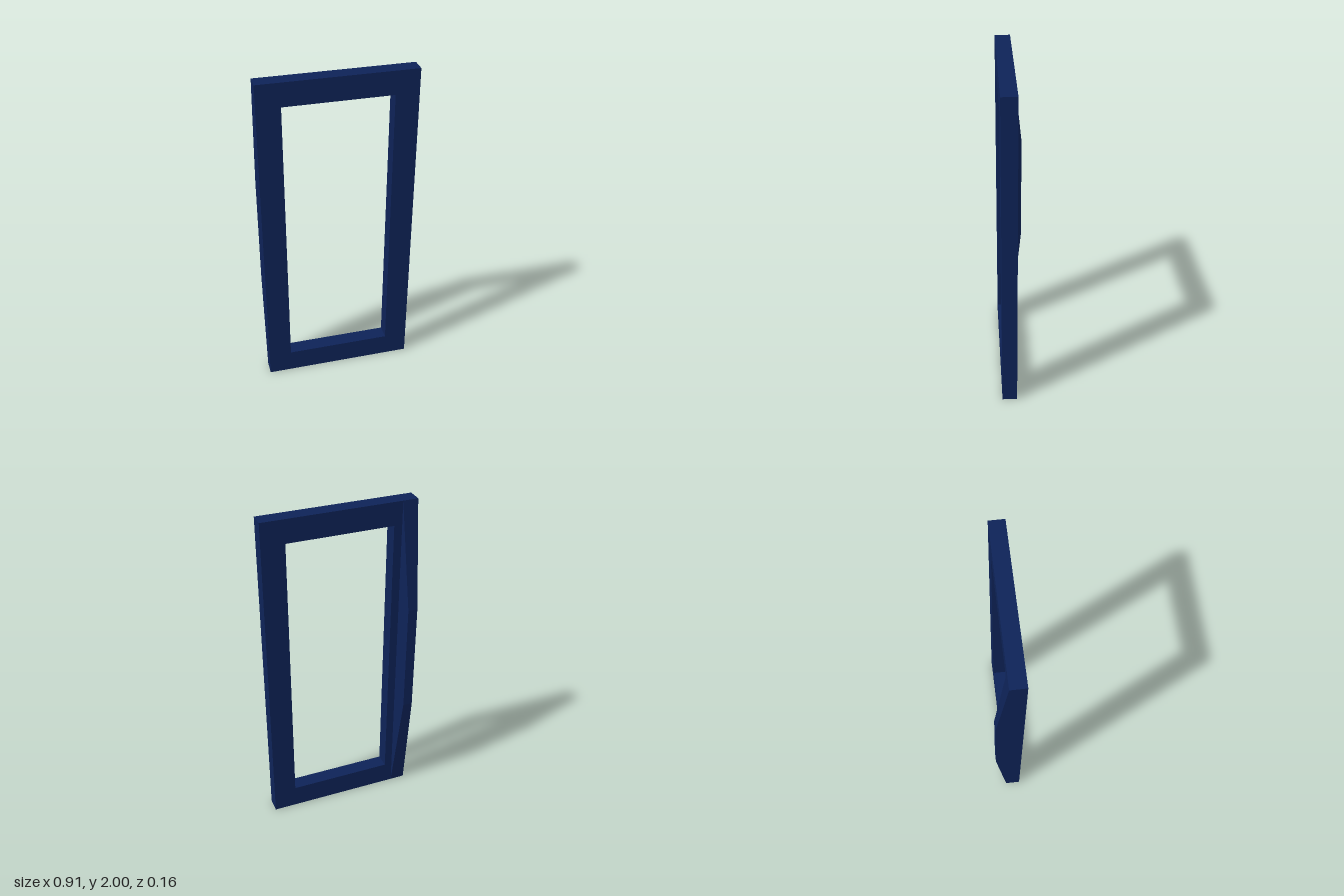
import * as THREE from 'three';

const rect = (path, w, y0, y1) => {
  path.moveTo(-w, y0);
  path.lineTo(w, y0);
  path.lineTo(w, y1);
  path.lineTo(-w, y1);
  path.closePath();
  return path;
};

// Loft of four-cornered sections along y; it tapers to flat at both ends
function raisedStileGeometry() {
  const outer = -0.453, inner = -0.363, base = -0.012;
  const sections = [
    [0, inner, base],
    [0.66, -0.395, -0.08],
    [1.34, -0.395, -0.08],
    [2, inner, base],
  ];
  const corners = sections.map(([y, crest, z]) => [
    [outer, y, base], [outer, y, z], [crest, y, z], [inner, y, base],
  ]);
  const pos = [];
  for (let i = 0; i < corners.length - 1; i++) {
    const lo = corners[i], hi = corners[i + 1];
    for (let k = 0; k < 3; k++) {
      pos.push(...lo[k], ...hi[k], ...hi[k + 1], ...lo[k], ...hi[k + 1], ...lo[k + 1]);
    }
  }
  const g = new THREE.BufferGeometry();
  g.setAttribute('position', new THREE.Float32BufferAttribute(pos, 3));
  g.computeVertexNormals();
  return g;
}

export function createModel() {
  const navy = new THREE.MeshStandardMaterial({ name: 'navy', color: 0x0e2358 });
  const group = new THREE.Group();
  group.name = 'windowFrame';

  // Flat rectangular frame with its opening
  const shape = rect(new THREE.Shape(), 0.453, 0, 2);
  shape.holes.push(rect(new THREE.Path(), 0.315, 0.14, 1.86));
  const frameGeo = new THREE.ExtrudeGeometry(shape, { depth: 0.09, bevelEnabled: false });
  frameGeo.translate(0, 0, -0.012);
  const frame = new THREE.Mesh(frameGeo, navy);
  frame.name = 'frame';

  // Tapered ridge on the back of one upright
  const ridge = new THREE.Mesh(raisedStileGeometry(), navy);
  ridge.name = 'backRidge';

  group.add(frame, ridge);
  return group;
}
